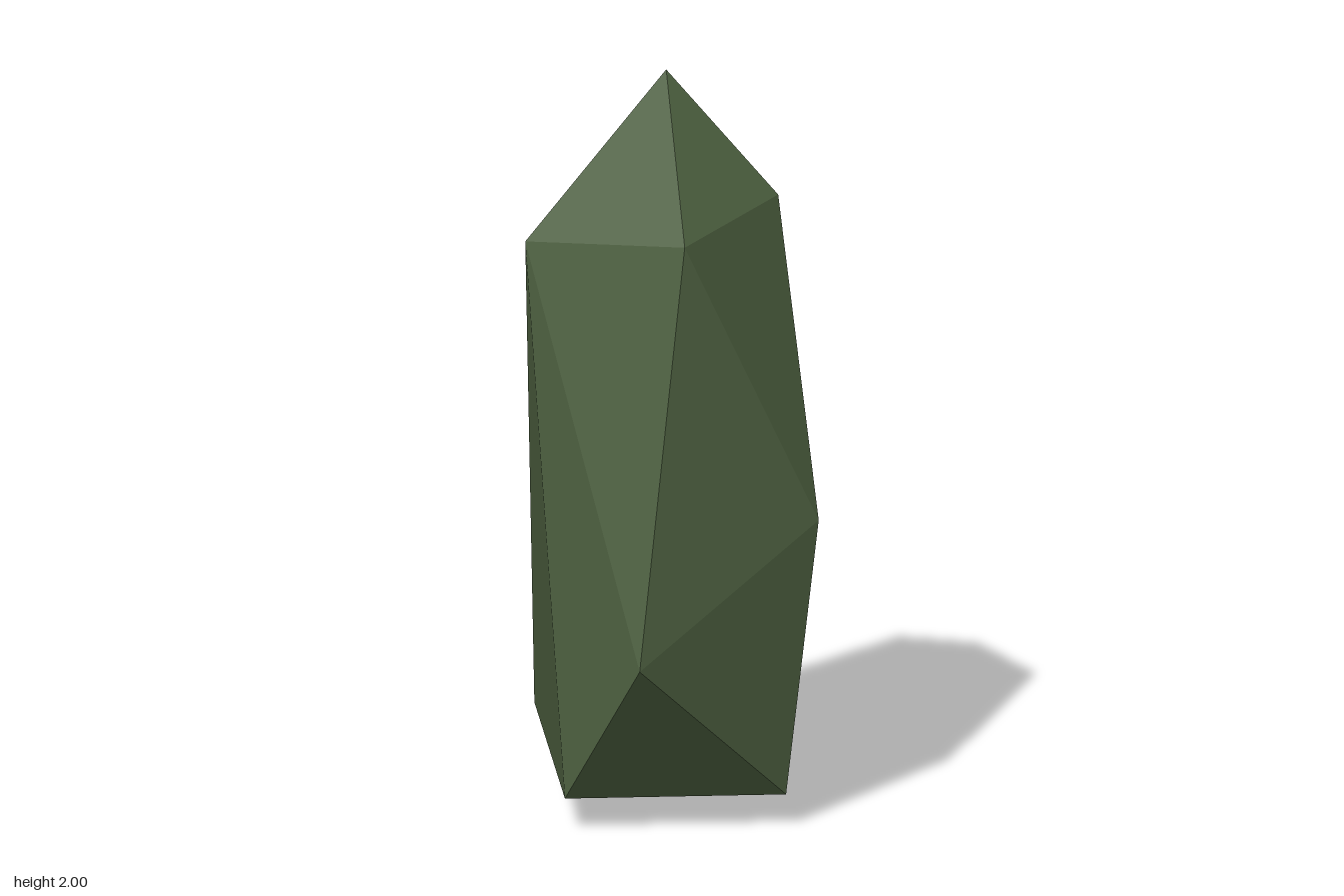
import * as THREE from 'three';
import { ConvexGeometry } from 'three/addons/geometries/ConvexGeometry.js';

export function createModel() {
  const group = new THREE.Group();
  group.name = 'crystalRock';
  const mossGreen = new THREE.MeshStandardMaterial({ color: 0x4d6040, flatShading: true });
  mossGreen.name = 'mossGreen';

  // Corners of the faceted stone, from tip to base
  const corners = [
    [-0.02, 2, 0], // tip
    [-0.38, 1.54, 0.105], [0.085, 1.61, 0.335], [0.28, 1.67, 0], [-0.11, 1.575, -0.36], // shoulder
    [0.42, 0.835, 0.19], [0, 0.5, 0.55], [0.155, 0.43, -0.55], // waist
    [-0.425, 0.15, -0.315], [-0.23, 0.09, 0.37], [0.34, 0.09, 0.235], [0.19, 0, -0.27], // base
  ].map((p) => new THREE.Vector3(...p));

  const stone = new THREE.Mesh(new ConvexGeometry(corners), mossGreen);
  stone.name = 'stone';
  group.add(stone);
  return group;
}
